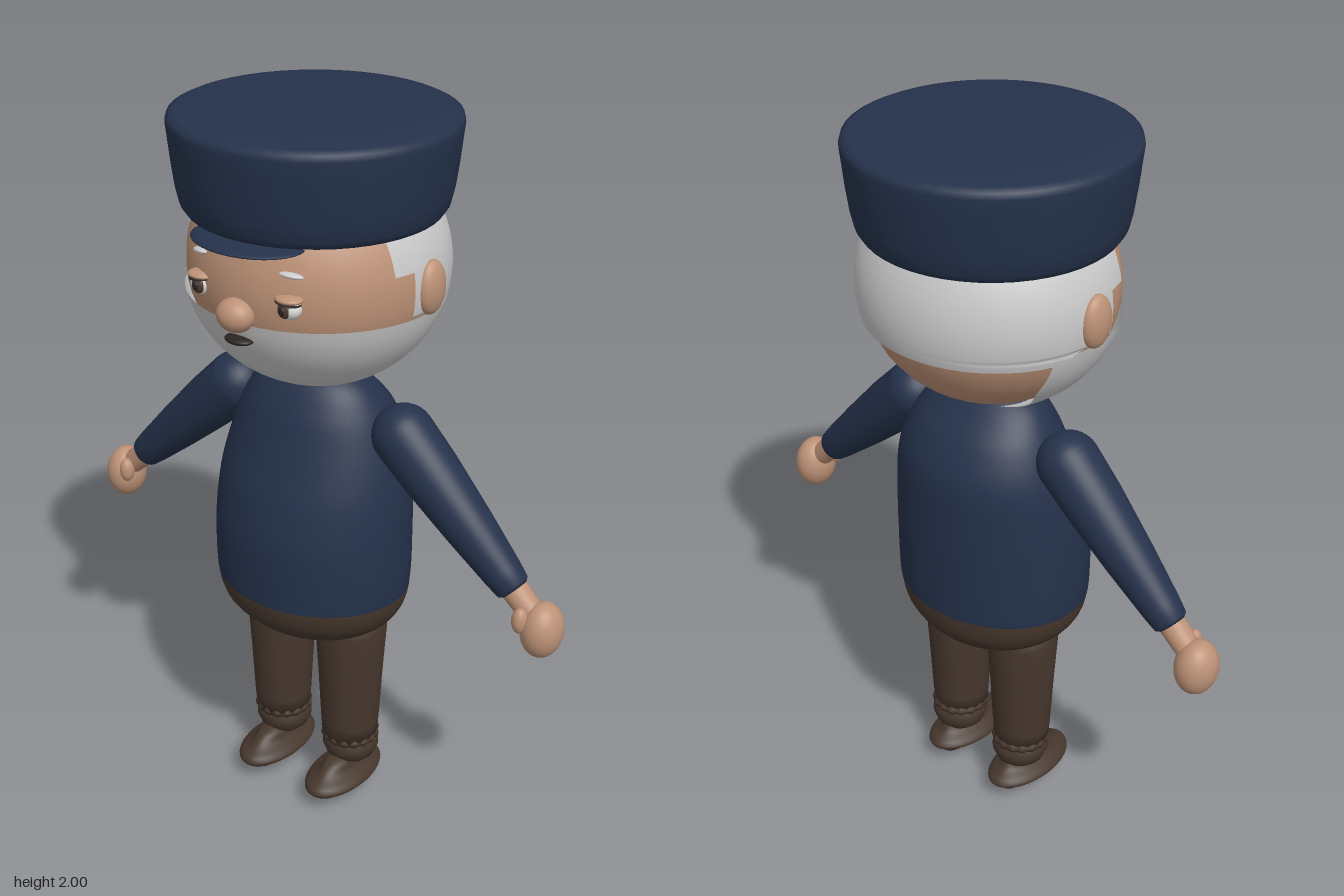
import * as THREE from 'three';

const mat = (name, color) => {
  const m = new THREE.MeshStandardMaterial({ color, side: THREE.DoubleSide });
  m.name = name;
  return m;
};

// Grid surface from fn(row, col) -> [x, y, z]; wrap closes it around
function grid(rows, cols, fn, wrap) {
  const pos = [], idx = [], n = wrap ? cols : cols + 1;
  for (let i = 0; i <= rows; i++) for (let j = 0; j < n; j++) pos.push(...fn(i / rows, j / cols));
  for (let i = 0; i < rows; i++) for (let j = 0; j < cols; j++) {
    const a = i * n + j, b = i * n + (j + 1) % n;
    idx.push(a, b, b + n, a, b + n, a + n);
  }
  const g = new THREE.BufferGeometry();
  g.setAttribute('position', new THREE.Float32BufferAttribute(pos, 3));
  g.setIndex(idx);
  g.computeVertexNormals();
  return g;
}

// Smooth body through elliptical rings [y, halfWidth, zFront, zBack], bottom to top
const SUB = 5, COLS = 48;
function loft(rings) {
  const size = new THREE.CatmullRomCurve3(rings.map(r => new THREE.Vector3(r[1], r[0], 0)));
  const depth = new THREE.CatmullRomCurve3(rings.map(r => new THREE.Vector3(r[2], r[3], 0)));
  return grid((rings.length - 1) * SUB, COLS, (u, v) => {
    const s = size.getPoint(u), d = depth.getPoint(u), t = v * Math.PI * 2;
    return [Math.max(s.x, 0) * Math.sin(t), s.y, (d.x + d.y) / 2 + (d.x - d.y) / 2 * Math.cos(t)];
  }, true);
}

const lathe = pts => new THREE.LatheGeometry(pts.map(p => new THREE.Vector2(...p)), 48);

// Patch of the head ellipsoid between two heights; edge(y) is the z where it ends
const HEAD = { y: 1.61, z: -0.012, rx: 0.345, ry: 0.322, rz: 0.33 };
function headPatch(y0, y1, edge, back) {
  const lat = y => Math.asin(THREE.MathUtils.clamp((y - HEAD.y) / HEAD.ry, -1, 1));
  const a0 = lat(y0), a1 = lat(y1);
  return grid(20, 64, (u, v) => {
    const a = a0 + (a1 - a0) * u, y = HEAD.y + HEAD.ry * Math.sin(a), r = Math.cos(a);
    const t = Math.acos(THREE.MathUtils.clamp((edge(y) - HEAD.z) / (HEAD.rz * r + 1e-6), -1, 1));
    const ang = back ? t + (2 * Math.PI - 2 * t) * v : -t + 2 * t * v;
    return [HEAD.rx * r * Math.sin(ang), y, HEAD.z + HEAD.rz * r * Math.cos(ang)];
  }, false);
}

export function createModel() {
  const model = new THREE.Group();
  model.name = 'figure';
  const navy = mat('navy cloth', 0x25324b), brown = mat('brown cloth', 0x46372d);
  const skin = mat('skin', 0xbd9277), grey = mat('grey hair', 0xcacaca);
  const white = mat('eye white', 0xdedede), dark = mat('dark', 0x2a2422), iris = mat('iris', 0x4a3a30);

  const add = (name, geo, material, x = 0, y = 0, z = 0, parent = model) => {
    const m = new THREE.Mesh(geo, material);
    m.name = name;
    m.position.set(x, y, z);
    parent.add(m);
    return m;
  };
  const ball = (name, material, [x, y, z], [rx, ry, rz], parent) => {
    const m = add(name, new THREE.SphereGeometry(1, 32, 24), material, x, y, z, parent);
    m.scale.set(rx, ry, rz);
    return m;
  };

  // Torso: brown seat below the waist, navy jersey above
  const torso = loft([
    [0.515, 0, 0.01, 0.01], [0.545, 0.12, 0.1, -0.12], [0.585, 0.215, 0.175, -0.19],
    [0.64, 0.262, 0.222, -0.225], [0.70, 0.278, 0.236, -0.235], [0.85, 0.281, 0.238, -0.238],
    [1.0, 0.272, 0.215, -0.238], [1.12, 0.25, 0.175, -0.233], [1.22, 0.21, 0.14, -0.19],
    [1.29, 0.16, 0.1, -0.125], [1.33, 0.1, 0.06, -0.08]
  ]);
  const split = 4 * SUB * COLS * 6;
  torso.addGroup(0, split, 0);
  torso.addGroup(split, torso.index.count - split, 1);
  add('torso', torso, [brown, navy]);

  // Head with hair and beard shells
  ball('head', skin, [0, 1.61, -0.012], [0.332, 0.31, 0.319]);
  add('beard', headPatch(1.288, 1.543, y => -0.08 - 0.05 * THREE.MathUtils.smoothstep(y, 1.32, 1.44), false), grey);
  add('hairLower', headPatch(1.52, 1.665, y => (y < 1.545 ? -0.08 : 0.05), true), grey);
  add('hairUpper', headPatch(1.665, 1.8, () => 0.105, true), grey);

  // Cap and peak
  add('cap', lathe([
    [0, 1.752], [0.3, 1.75], [0.322, 1.752], [0.334, 1.77], [0.343, 1.81], [0.351, 1.87],
    [0.357, 1.93], [0.361, 1.968], [0.357, 1.983], [0.34, 1.991], [0.25, 1.997], [0, 2.0]
  ]), navy, 0, 0, -0.007);
  ball('capPeak', navy, [0, 1.735, 0.255], [0.155, 0.014, 0.112]);

  // Nose and mouth
  ball('nose', skin, [0, 1.562, 0.31], [0.05, 0.043, 0.044]);
  ball('mouth', dark, [0, 1.495, 0.298], [0.04, 0.011, 0.03]);

  for (const s of [1, -1]) {
    const side = s > 0 ? 'left' : 'right';

    // Face features
    ball(side + 'Ear', skin, [s * 0.34, 1.61, -0.015], [0.03, 0.07, 0.048]);
    ball(side + 'Eye', white, [s * 0.133, 1.6, 0.272], [0.032, 0.028, 0.026]);
    ball(side + 'Iris', iris, [s * 0.131, 1.6, 0.29], [0.018, 0.021, 0.013]);
    ball(side + 'Pupil', dark, [s * 0.131, 1.6, 0.296], [0.01, 0.012, 0.01]);
    ball(side + 'Eyelid', skin, [s * 0.133, 1.624, 0.274], [0.037, 0.011, 0.031]);
    const lash = ball(side + 'Lash', dark, [s * 0.133, 1.615, 0.277], [0.033, 0.004, 0.029]);
    const brow = ball(side + 'Brow', grey, [s * 0.138, 1.682, 0.271], [0.03, 0.007, 0.012]);
    for (const m of [lash, brow]) m.rotation.set(0, s * 0.4, -s * 0.12);

    // Arm: tapered sleeve hung from the shoulder, wrist, hand and thumb
    const arm = new THREE.Group();
    arm.name = side + 'Arm';
    const top = new THREE.Vector3(s * 0.272, 1.188, -0.018), end = new THREE.Vector3(s * 0.622, 0.858, -0.016);
    const len = top.distanceTo(end);
    arm.position.copy(end);
    arm.quaternion.setFromUnitVectors(new THREE.Vector3(0, 1, 0), top.clone().sub(end).normalize());
    model.add(arm);
    const sleeve = [[0, 0.002], [0.036, 0], [0.046, 0.008], [0.052, 0.05], [0.066, len * 0.4], [0.079, len * 0.75]];
    for (let i = 0; i <= 8; i++) {
      const a = i / 8 * Math.PI / 2;
      sleeve.push([0.083 * Math.cos(a), len + 0.083 * Math.sin(a)]);
    }
    add(side + 'Sleeve', lathe(sleeve), navy, 0, 0, 0, arm);
    add(side + 'Wrist', new THREE.CylinderGeometry(0.037, 0.033, 0.1, 32), skin, 0, -0.03, 0, arm);
    ball(side + 'Hand', skin, [s * 0.706, 0.77, -0.018], [0.055, 0.077, 0.062]);
    ball(side + 'Thumb', skin, [s * 0.664, 0.802, 0.025], [0.021, 0.036, 0.022]);

    // Leg, gathered cuff and ankle band
    add(side + 'Leg', lathe([[0, 0.185], [0.078, 0.19], [0.082, 0.24], [0.09, 0.4], [0.1, 0.56], [0.09, 0.64], [0, 0.66]]),
      brown, s * 0.12, 0, -0.013);
    const cuff = new THREE.TorusGeometry(0.062, 0.02, 12, 64).rotateX(Math.PI / 2);
    const p = cuff.attributes.position;
    for (let i = 0; i < p.count; i++) {
      const k = 1 + 0.03 * Math.cos(16 * Math.atan2(p.getX(i), p.getZ(i)));
      p.setXYZ(i, p.getX(i) * k, p.getY(i) * k, p.getZ(i) * k);
    }
    cuff.computeVertexNormals();
    add(side + 'Cuff', cuff, brown, s * 0.12, 0.192, -0.015);
    add(side + 'Ankle', lathe([[0, 0.1], [0.05, 0.105], [0.07, 0.125], [0.08, 0.15], [0.079, 0.175], [0.065, 0.195]]),
      brown, s * 0.12, 0, -0.018);

    // Pinched, wide-rimmed shoe
    add(side + 'Shoe', loft([
      [0.002, 0, 0.03, 0.0], [0.008, 0.022, 0.09, -0.07], [0.03, 0.042, 0.122, -0.095],
      [0.052, 0.07, 0.155, -0.118], [0.066, 0.083, 0.166, -0.13], [0.08, 0.074, 0.16, -0.122],
      [0.1, 0.046, 0.125, -0.09], [0.125, 0.034, 0.085, -0.065], [0.142, 0, 0.01, 0.0]
    ]), brown, s * 0.12, 0, 0);
  }
  return model;
}
